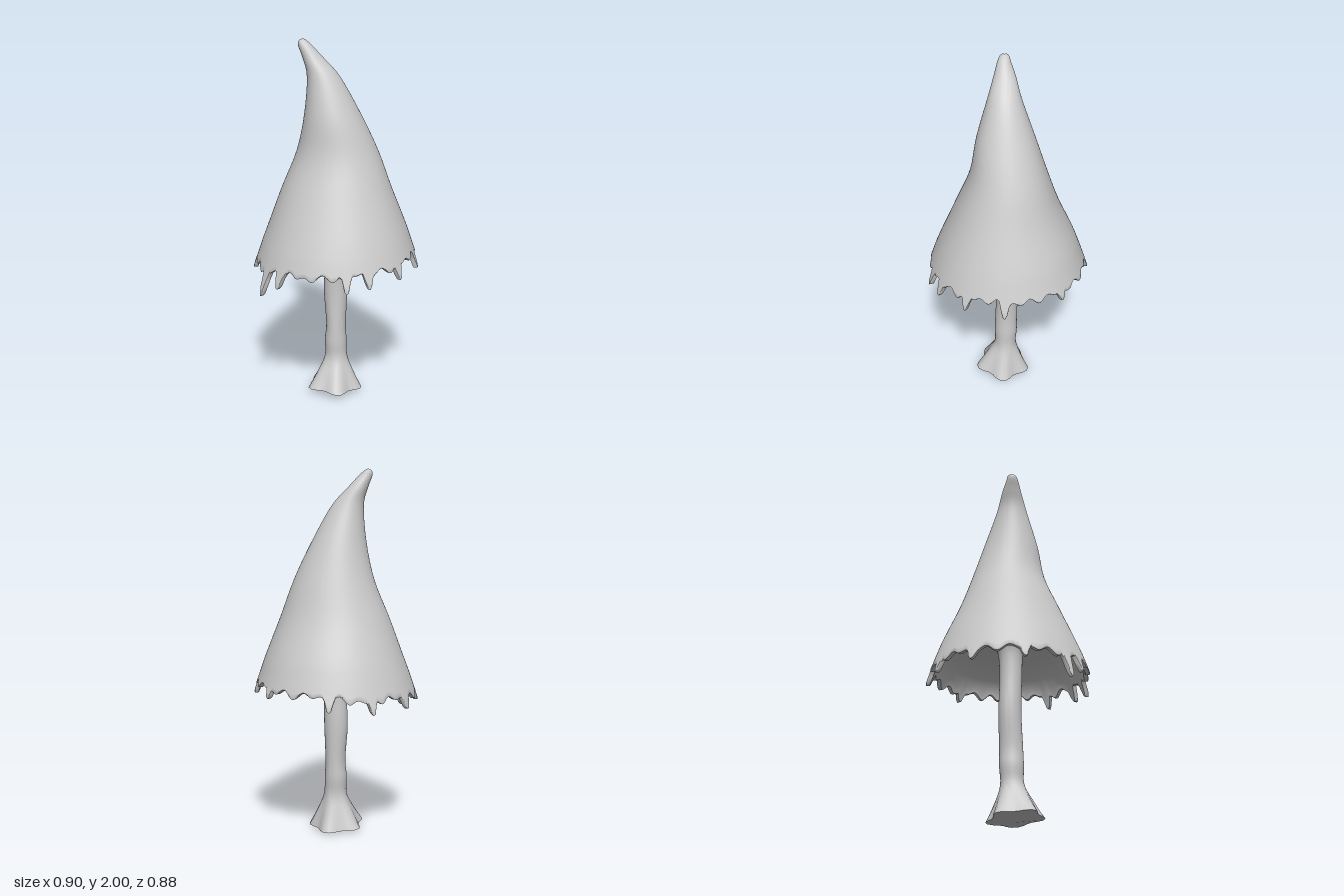
import * as THREE from 'three';
import { toCreasedNormals } from 'three/addons/utils/BufferGeometryUtils.js';

const material = new THREE.MeshStandardMaterial({ color: 0xcccccc });

// Skin closed rings, listed from top to bottom; each ring is a function of the angle
function loft(name, rings, sides, crease) {
  const positions = [], index = [];
  rings.forEach((ring, i) => {
    for (let j = 0; j < sides; j++) {
      positions.push(...ring((j / sides) * Math.PI * 2));
      if (i === rings.length - 1) continue;
      const k = (j + 1) % sides;
      const a = i * sides + j, b = i * sides + k;
      index.push(a, b, a + sides, b, b + sides, a + sides);
    }
  });
  let geometry = new THREE.BufferGeometry();
  geometry.setAttribute('position', new THREE.Float32BufferAttribute(positions, 3));
  geometry.setIndex(index);
  geometry = toCreasedNormals(geometry, crease);
  const mesh = new THREE.Mesh(geometry, material);
  mesh.name = name;
  return mesh;
}

// Smoothly resample sections [y, xMin, xMax, zMin, zMax] into centres and radii
function resample(sections, count) {
  const centre = new THREE.CatmullRomCurve3(sections.map(
    ([y, x0, x1, z0, z1]) => new THREE.Vector3((x0 + x1) / 2, y, (z0 + z1) / 2)), false, 'catmullrom');
  const radius = new THREE.CatmullRomCurve3(sections.map(
    ([, x0, x1, z0, z1]) => new THREE.Vector3((x1 - x0) / 2, 0, (z1 - z0) / 2)), false, 'catmullrom');
  return Array.from({ length: count + 1 }, (_, i) => ({
    c: centre.getPoint(i / count), r: radius.getPoint(i / count),
  }));
}

// Long drips on the rim: [x, z, lowest y]
const drips = [
  [-0.32, 0.34, 0.66], [-0.27, -0.35, 0.73], [-0.06, -0.45, 0.75], [0.46, -0.02, 0.765],
  [0.17, 0.44, 0.745], [0.27, 0.36, 0.76], [0.4, 0.2, 0.77], [-0.22, 0.4, 0.73],
  [-0.44, 0.12, 0.735], [0.3, -0.33, 0.79], [-0.42, -0.16, 0.735],
].map(([x, z, y]) => ({ angle: Math.atan2(z, x), y }));

// Height of the ragged rim, which is lower towards -x
function rimHeight(t) {
  let y = 0.82 + 0.03 * Math.cos(t) + 0.012 * Math.sin(27 * t + Math.sin(3 * t))
    + 0.008 * Math.sin(17 * t + 1) + 0.005 * Math.sin(7 * t);
  for (const drip of drips) {
    const d = Math.atan2(Math.sin(t - drip.angle), Math.cos(t - drip.angle));
    y += (Math.min(drip.y, y) - y) * Math.exp(-((d / 0.05) ** 4) * 0.8 - (d / 0.09) ** 2);
  }
  return y;
}

function createCap() {
  const sections = resample([
    [2.0, -0.193, -0.187, 0.03, 0.036],
    [1.99, -0.21, -0.17, 0.01, 0.055],
    [1.965, -0.213, -0.14, 0, 0.068],
    [1.9, -0.19, -0.08, -0.03, 0.085],
    [1.8, -0.167, 0.01, -0.065, 0.113],
    [1.6, -0.185, 0.12, -0.14, 0.168],
    [1.4, -0.232, 0.212, -0.208, 0.205],
    [1.2, -0.312, 0.287, -0.275, 0.285],
    [1.0, -0.386, 0.365, -0.363, 0.37],
    [0.9, -0.423, 0.4, -0.4, 0.41],
  ], 36);
  const edge = sections[sections.length - 1];
  const at = ({ c, r }, t, y, grow) =>
    [c.x + (r.x + grow) * Math.cos(t), y, c.z + (r.z + grow) * Math.sin(t)];
  const rings = sections.map((s) => (t) => at(s, t, s.c.y, 0));
  // Outer skirt running down to the drips
  for (const f of [0.35, 0.7, 0.92, 1]) {
    rings.push((t) => {
      const y = 0.9 + (rimHeight(t) - 0.9) * f;
      return at(edge, t, y, (0.9 - y) * 0.34 - (f === 1 ? 0.005 : 0));
    });
  }
  // Rim thickness, then back up inside
  for (const f of [1, 0.85, 0.3]) {
    rings.push((t) => {
      const y = 0.9 + (rimHeight(t) - 0.9) * f;
      return at(edge, t, y, (0.9 - y) * 0.34 - 0.026);
    });
  }
  // Hollow underside, meeting the stem
  for (const [y, s] of [[0.93, 0.87], [0.975, 0.74], [1.005, 0.58], [1.02, 0.4], [1.015, 0.25], [1.0, 0.15]]) {
    rings.push((t) => [edge.c.x + edge.r.x * s * Math.cos(t), y, edge.c.z + edge.r.z * s * Math.sin(t)]);
  }
  return loft('cap', rings, 240, 0.9);
}

function createStem() {
  const sections = resample([
    [1.03, -0.12, 0.1, -0.1, 0.12],
    [0.95, -0.082, 0.06, -0.06, 0.08],
    [0.8, -0.075, 0.05, -0.05, 0.072],
    [0.6, -0.085, 0.046, -0.055, 0.068],
    [0.4, -0.07, 0.04, -0.05, 0.076],
    [0.3, -0.078, 0.045, -0.05, 0.08],
    [0.2, -0.078, 0.05, -0.045, 0.082],
    [0.1, -0.122, 0.088, -0.078, 0.135],
    [0.02, -0.165, 0.125, -0.112, 0.182],
  ], 32);
  // Root lobes grow towards the foot
  const ring = ({ c, r }, scale = 1, lift = 1) => (t) => {
    const foot = THREE.MathUtils.clamp((0.22 - c.y) / 0.2, 0, 1);
    const k = scale * (1 + foot * 0.13 * Math.cos(5 * t + 0.4) - foot * 0.04);
    const y = c.y + lift * foot * 0.012 * Math.sin(t - 0.3);
    return [c.x + r.x * k * Math.cos(t), y, c.z + r.z * k * Math.sin(t)];
  };
  const rings = sections.map((s) => ring(s));
  // Slightly domed sole
  const foot = sections[sections.length - 1];
  rings.push(ring(foot, 0.9), () => [foot.c.x, 0, foot.c.z]);
  return loft('stem', rings, 30, 0.8);
}

export function createModel() {
  const model = new THREE.Group();
  model.name = 'mushroom';
  model.add(createCap(), createStem());
  return model;
}
